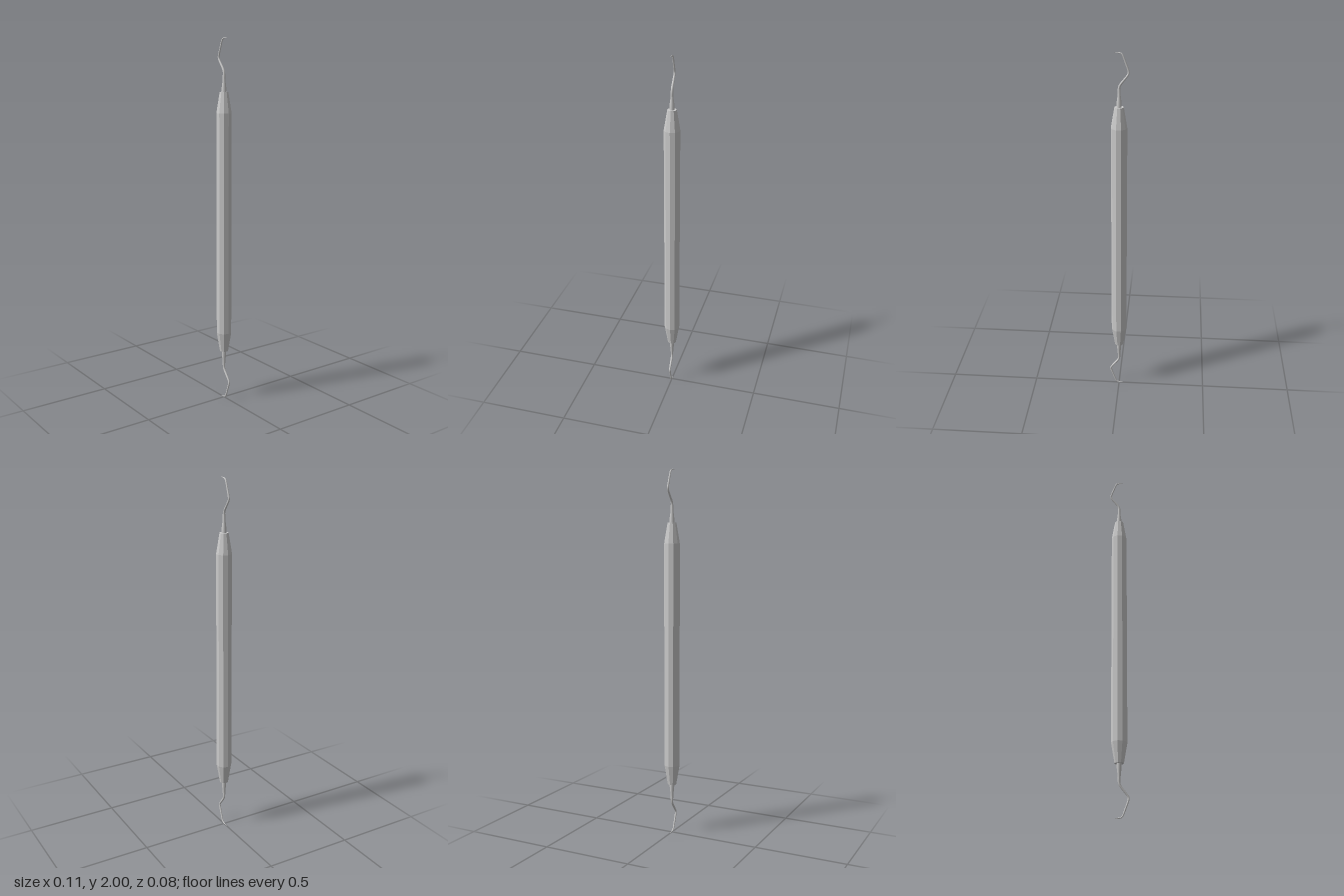
import * as THREE from 'three';

const material = new THREE.MeshStandardMaterial({ color: 0xcccccc, side: THREE.DoubleSide });
const handleMaterial = new THREE.MeshStandardMaterial({ color: 0xcccccc, flatShading: true });
const SIDES = 10;

// Ten-sided turned part with corners on the x axis
function turned(name, profile, mat) {
  const points = profile.map(([r, y]) => new THREE.Vector2(r, y));
  const mesh = new THREE.Mesh(new THREE.LatheGeometry(points, SIDES, Math.PI / 2), mat);
  mesh.name = name;
  return mesh;
}

// Round wire in the xy plane; each path entry is [x, y, radius]
function taperedWire(name, path) {
  const curve = new THREE.CatmullRomCurve3(
    path.map(([x, y]) => new THREE.Vector3(x, y, 0)), false, 'centripetal');
  const steps = (path.length - 1) * 3;
  const positions = [], indices = [];
  for (let i = 0; i <= steps; i++) {
    const t = i / steps;
    const p = curve.getPoint(t), d = curve.getTangent(t);
    const k = Math.min(Math.floor(i / 3), path.length - 2);
    const r = THREE.MathUtils.lerp(path[k][2], path[k + 1][2], i / 3 - k);
    for (let j = 0; j < SIDES; j++) {
      const a = (j / SIDES) * Math.PI * 2;
      const u = Math.cos(a) * r;
      positions.push(p.x + d.y * u, p.y - d.x * u, Math.sin(a) * r);
      if (i < steps) {
        const n = (j + 1) % SIDES, b = i * SIDES;
        indices.push(b + j, b + SIDES + j, b + n, b + n, b + SIDES + j, b + SIDES + n);
      }
    }
  }
  // Triangles wound so that they face outwards
  for (let i = 0; i < indices.length; i += 3) {
    [indices[i + 1], indices[i + 2]] = [indices[i + 2], indices[i + 1]];
  }
  const geometry = new THREE.BufferGeometry();
  geometry.setAttribute('position', new THREE.Float32BufferAttribute(positions, 3));
  geometry.setIndex(indices);
  geometry.computeVertexNormals();
  const mesh = new THREE.Mesh(geometry, material);
  mesh.name = name;
  return mesh;
}

// Working end: tapered shank and bent hook, measured from the middle of the tool
function workingEnd(name) {
  const end = new THREE.Group();
  end.name = name;
  end.add(turned('shank', [[0.0135, 0.71], [0.0125, 0.745], [0.0085, 0.775], [0.0065, 0.815]], material));
  end.add(taperedWire('hook', [
    [0.001, 0.79, 0.007],
    [0.001, 0.812, 0.0065],
    [-0.004, 0.832, 0.006],
    [-0.026, 0.862, 0.0055],
    [-0.044, 0.886, 0.005],
    [-0.048, 0.898, 0.005],
    [-0.045, 0.912, 0.005],
    [-0.032, 0.948, 0.0045],
    [-0.02, 0.98, 0.0042],
    [-0.012, 0.992, 0.0038],
    [0.002, 0.997, 0.003],
    [0.026, 0.999, 0.0006],
  ]));
  return end;
}

export function createModel() {
  const model = new THREE.Group();
  model.name = 'doubleEndedHandTool';

  // Handle with tapered ends
  const handle = turned('handle', [
    [0, -0.72], [0.024, -0.72], [0.0425, -0.61],
    [0.0425, 0.61], [0.024, 0.72], [0, 0.72],
  ], handleMaterial);
  handle.position.y = 1;
  model.add(handle);

  // Upper end, and the lower end as a half turn of it
  const upper = workingEnd('upperEnd');
  const lower = workingEnd('lowerEnd');
  lower.rotation.z = Math.PI;
  upper.position.y = lower.position.y = 1;
  model.add(upper, lower);

  return model;
}
